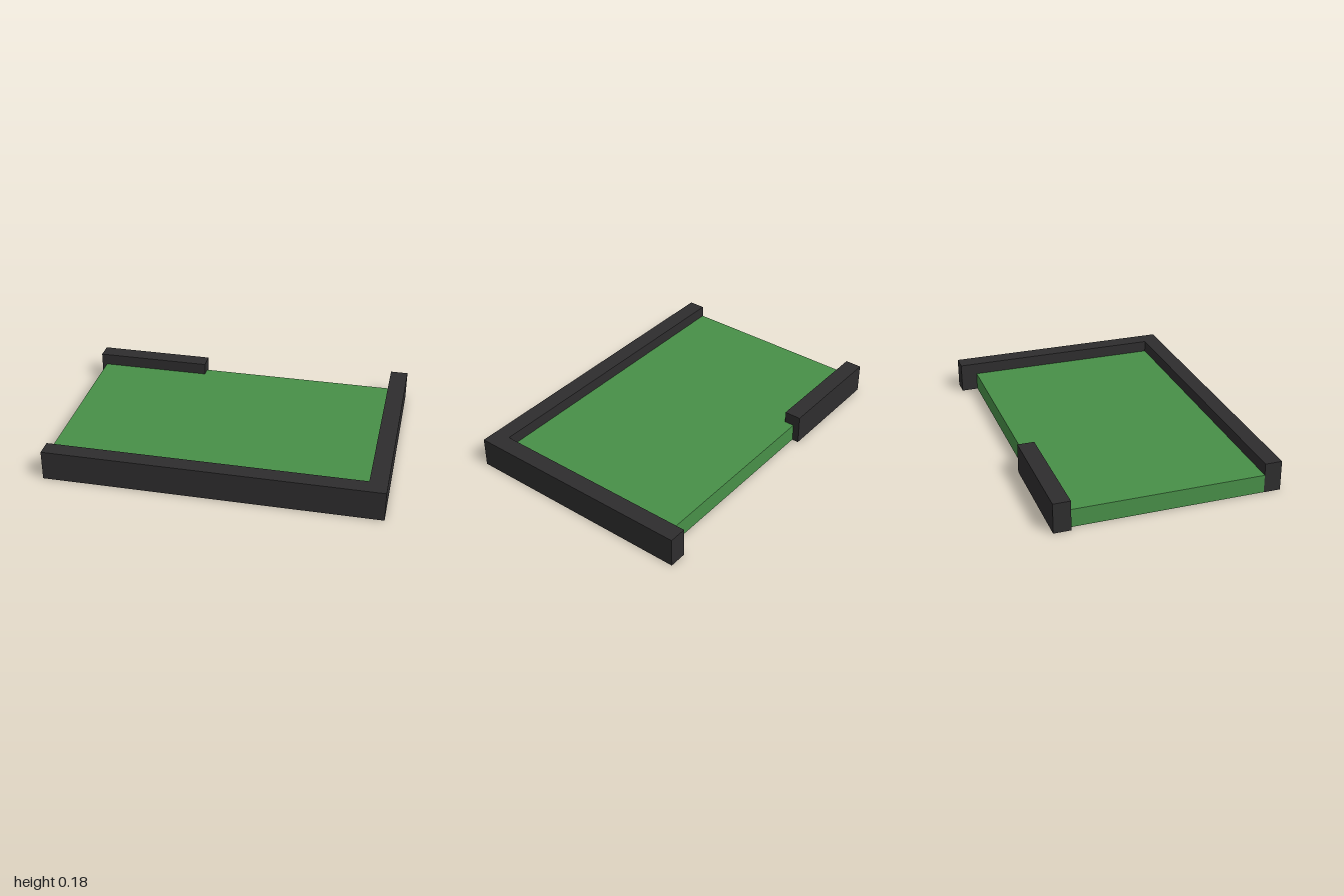
import * as THREE from 'three';

const green = new THREE.MeshStandardMaterial({ color: 0x488f48 });
green.name = 'green';
const charcoal = new THREE.MeshStandardMaterial({ color: 0x2e2d2e });
charcoal.name = 'charcoal';

// Box given by its lower and upper limits on each axis
function block(name, material, [x0, x1], [y0, y1], [z0, z1]) {
  const mesh = new THREE.Mesh(new THREE.BoxGeometry(x1 - x0, y1 - y0, z1 - z0), material);
  mesh.name = name;
  mesh.position.set((x0 + x1) / 2, (y0 + y1) / 2, (z0 + z1) / 2);
  return mesh;
}

export function createModel() {
  const model = new THREE.Group();
  model.name = 'walledLawn';
  const wall = [0, 0.178];

  model.add(
    // Lawn slab, its underside just inside the wall bases
    block('lawn', green, [-0.97, 0.895], [0.001, 0.108], [-0.595, 0.595]),
    // Low walls around the lawn; the back one is short
    block('frontWall', charcoal, [-0.97, 0.895], wall, [0.595, 0.695]),
    block('leftWall', charcoal, [0.895, 1], wall, [-0.695, 0.695]),
    block('backWall', charcoal, [-1, -0.3], wall, [-0.635, -0.535]),
  );
  return model;
}
